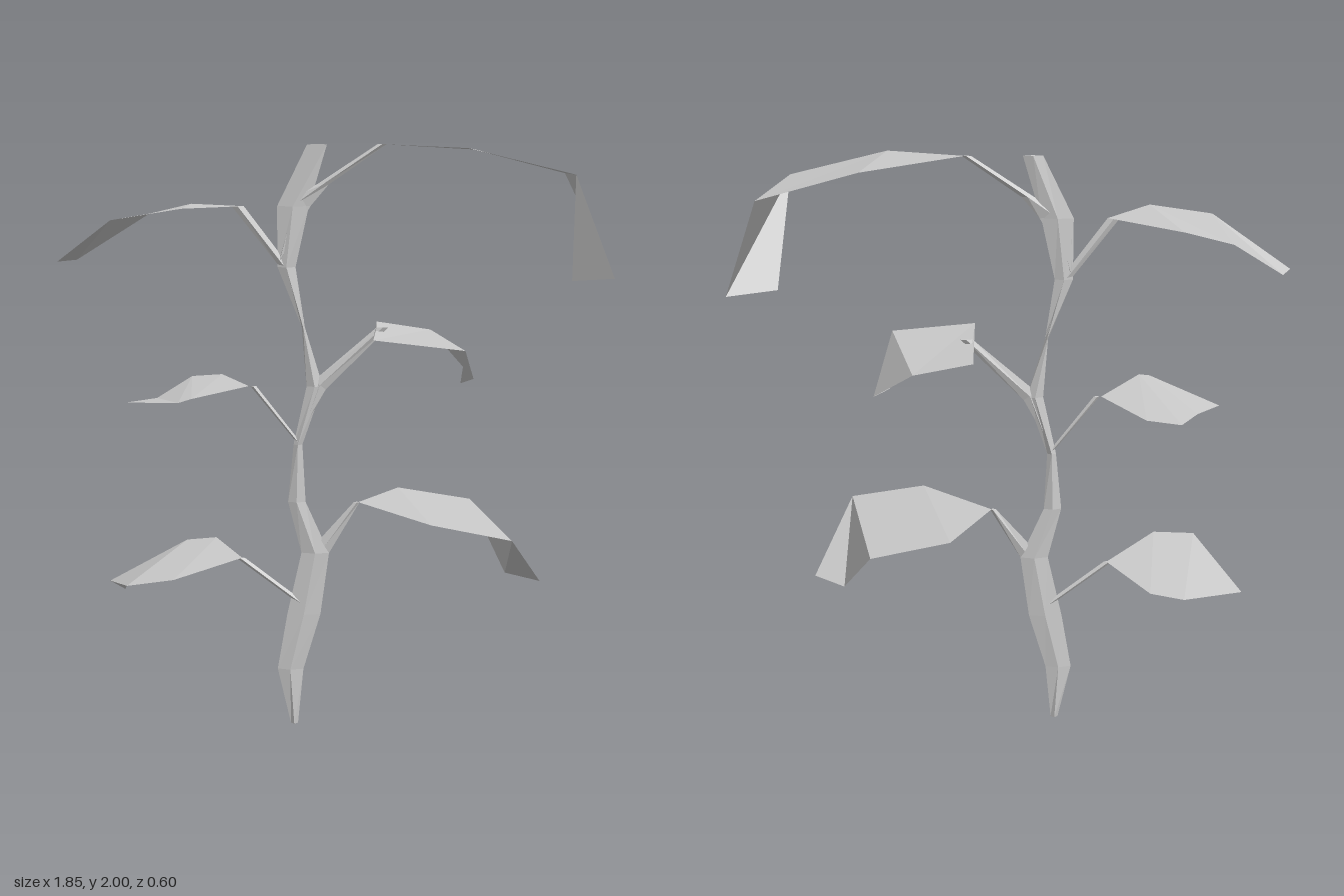
import * as THREE from 'three';

const material = new THREE.MeshStandardMaterial({ color: 0xcccccc, flatShading: true, side: THREE.DoubleSide });

function makeMesh(name, positions, index) {
  const geometry = new THREE.BufferGeometry();
  geometry.setAttribute('position', new THREE.Float32BufferAttribute(positions, 3));
  geometry.setIndex(index);
  const flat = geometry.toNonIndexed();
  flat.computeVertexNormals();
  const mesh = new THREE.Mesh(flat, material);
  mesh.name = name;
  return mesh;
}

// Thin limb with a diamond section; each row is [y, leftEdge, rightEdge, optional rightEdgeY]
function limb(name, rows, depth = 0.012) {
  const positions = [], index = [];
  rows.forEach(([y, x0, x1, y1 = y]) => {
    const xm = (x0 + x1) / 2, ym = (y + y1) / 2;
    positions.push(x0, y, 0, xm, ym, depth, x1, y1, 0, xm, ym, -depth);
  });
  for (let r = 0; r < rows.length - 1; r++) {
    for (let i = 0; i < 4; i++) {
      const a = r * 4 + i, b = r * 4 + (i + 1) % 4;
      index.push(a, b, b + 4, a, b + 4, a + 4);
    }
  }
  const e = (rows.length - 1) * 4;
  index.push(0, 2, 1, 0, 3, 2, e, e + 1, e + 2, e, e + 2, e + 3);
  return makeMesh(name, positions, index);
}

// Folded leaf: a base point, then three cross rows [y, x at back, x at front]
const HALF_WIDTHS = [0.28, 0.3, 0.05];
function leaf(name, base, rows) {
  const positions = [base[0], base[1], 0];
  rows.forEach(([y, xBack, xFront], r) => {
    positions.push(xBack, y, -HALF_WIDTHS[r], xFront, y, HALF_WIDTHS[r]);
  });
  const index = [0, 2, 1];
  for (const b of [1, 3]) index.push(b, b + 1, b + 2, b + 1, b + 3, b + 2);
  // Leaves growing to -x need the opposite winding to face up
  if (rows[2][1] < base[0]) index.reverse();
  return makeMesh(name, positions, index);
}

export function createModel() {
  const plant = new THREE.Group();
  plant.name = 'plant';

  // Crooked main stem
  plant.add(limb('stem', [
    [0, -0.165, -0.14], [0.2, -0.21, -0.12], [0.4, -0.175, -0.06],
    [0.62, -0.125, -0.03], [0.8, -0.17, -0.11], [1.0, -0.15, -0.12],
    [1.2, -0.105, -0.05], [1.4, -0.12, -0.11], [1.6, -0.2, -0.14],
    [1.8, -0.2, -0.095], [2.0, -0.1, -0.035],
  ]));

  // Side branches, tapering to the leaves
  const branches = [
    ['lowerRightBranch', [[0.46, -0.165, -0.06, 0.4], [0.6, -0.35, -0.32]]],
    ['lowerLeftBranch', [[0.67, -0.06, -0.03, 0.62], [0.8, 0.055, 0.075]]],
    ['middleRightBranch', [[1.02, -0.15, -0.12, 1.0], [1.2, -0.295, -0.275]]],
    ['middleLeftBranch', [[1.08, -0.11, -0.1], [1.22, -0.08, -0.04, 1.19], [1.4, 0.13, 0.17]]],
    ['upperRightBranch', [[1.42, -0.122, -0.112], [1.61, -0.2, -0.15, 1.59], [1.8, -0.35, -0.31]]],
    ['upperLeftBranch', [[1.62, -0.195, -0.19], [1.81, -0.195, -0.09, 1.8], [1.87, -0.07, -0.03], [2.0, 0.13, 0.16]]],
  ];
  branches.forEach(([name, rows]) => plant.add(limb(name, rows, 0.008)));

  // Drooping leaves
  const leaves = [
    ['lowerRightLeaf', [-0.33, 0.6], [[0.6, -0.45, -0.53], [0.585, -0.56, -0.68], [0.5, -0.8, -0.73]]],
    ['lowerLeftLeaf', [0.07, 0.8], [[0.79, 0.21, 0.31], [0.745, 0.47, 0.57], [0.54, 0.58, 0.69]]],
    ['middleRightLeaf', [-0.3, 1.2], [[1.2, -0.42, -0.46], [1.19, -0.53, -0.5], [1.15, -0.62, -0.71]]],
    ['middleLeftLeaf', [0.13, 1.4], [[1.39, 0.13, 0.12], [1.36, 0.32, 0.41], [1.22, 0.46, 0.41]]],
    ['upperRightLeaf', [-0.31, 1.8], [[1.8, -0.52, -0.48], [1.765, -0.67, -0.7], [1.62, -0.88, -0.925]]],
    ['upperLeftLeaf', [0.15, 2.0], [[1.985, 0.47, 0.41], [1.905, 0.78, 0.74], [1.56, 0.925, 0.77]]],
  ];
  leaves.forEach(([name, base, rows]) => plant.add(leaf(name, base, rows)));

  return plant;
}
